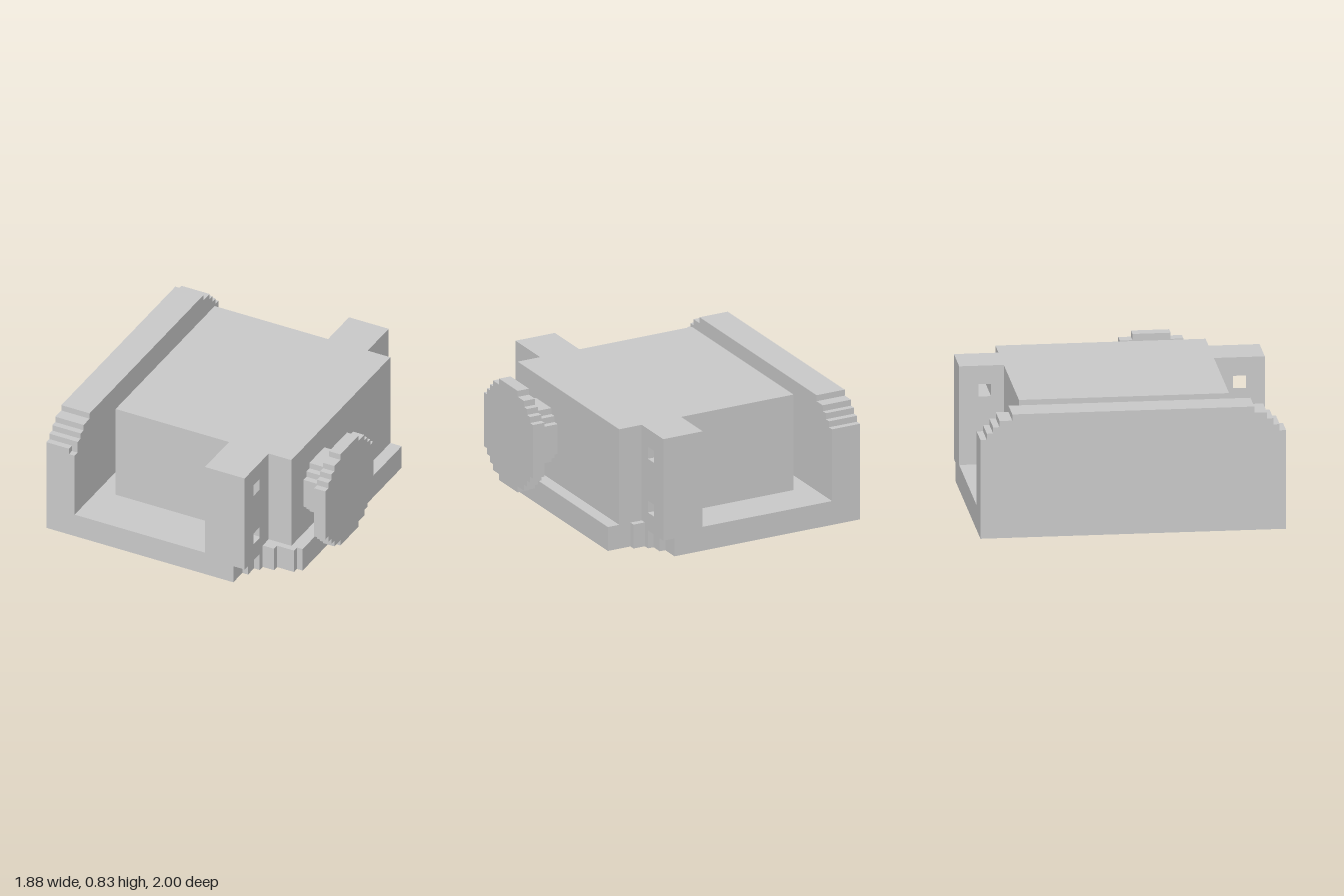
import * as THREE from 'three';

const U = 1 / 24; // one block unit; all sizes below are in these units

export function createModel() {
  const model = new THREE.Group();
  const material = new THREE.MeshStandardMaterial({ color: 0xcccccc, flatShading: true });

  const add = (name, geometry) => {
    geometry.scale(U, U, U);
    const mesh = new THREE.Mesh(geometry, material);
    mesh.name = name;
    model.add(mesh);
  };
  const path = (points, Type = THREE.Shape) => new Type(points.map(([a, b]) => new THREE.Vector2(-a, b)));
  const rect = (a0, b0, a1, b1) => [[a0, b0], [a1, b0], [a1, b1], [a0, b1]];

  // Extrude a (z, y) outline from x0 to x1, with optional holes
  const alongX = (name, points, x0, x1, holes = []) => {
    const shape = path(points);
    shape.holes = holes.map((h) => path(h, THREE.Path));
    const g = new THREE.ExtrudeGeometry(shape, { depth: x1 - x0, bevelEnabled: false });
    add(name, g.rotateY(Math.PI / 2).translate(x0, 0, 0));
  };
  // Extrude an (x, z) outline from y0 to y1
  const alongY = (name, points, y0, y1) => {
    const shape = new THREE.Shape(points.map(([x, z]) => new THREE.Vector2(x, -z)));
    const g = new THREE.ExtrudeGeometry(shape, { depth: y1 - y0, bevelEnabled: false });
    add(name, g.rotateX(-Math.PI / 2).translate(0, y0, 0));
  };
  // Stepped round outline: one quadrant of corner offsets mirrored about (cz, cy)
  const steppedRound = (quadrant, cz, cy) => {
    const back = [...quadrant].reverse();
    return [
      ...quadrant.map(([z, y]) => [cz + z, cy + y]),
      ...back.map(([z, y]) => [cz - z, cy + y]),
      ...quadrant.map(([z, y]) => [cz - z, cy - y]),
      ...back.map(([z, y]) => [cz + z, cy - y]),
    ];
  };

  // Base plate: stepped lower corners, then a full top layer
  const bulge = [[12.5, -18], [14.5, -18], [14.5, -17], [18.5, -17], [18.5, 16],
    [17.5, 16], [17.5, 17], [14.5, 17], [14.5, 18], [12.5, 18]];
  const cornerBack = [[10.5, -24], [10.5, -21], [11.5, -21], [11.5, -19], [12.5, -19]];
  const cornerFront = cornerBack.map(([x, z]) => [x, -z]).reverse();
  alongY('baseLower', [[-22.5, -24], ...cornerBack, ...bulge, ...cornerFront, [-22.5, 24]], 0, 3);
  alongY('baseUpper', [[-22.5, -24], [12.5, -24], ...bulge, [12.5, 24], [-22.5, 24]], 3, 4);

  // Main block
  alongX('mainBlock', rect(-17, 4, 16, 20), -14.5, 16.5);

  // Corner pillars with two square holes each
  for (const [name, side, inner] of [['frontPillar', 1, 16], ['backPillar', -1, 17]]) {
    const holes = [6, 15].map((y) => rect(side * 19, y, side * 21, y + 2));
    alongX(name, rect(side * inner, 4, side * 24, 20), 5.5, 12.5, holes);
  }

  // Side wall with stepped shoulders and a slot; its inner layer is notched at the front
  const shoulder = [[24, 16], [23, 16], [23, 17], [22, 17], [22, 18], [21, 18], [21, 19], [19, 19], [19, 20]];
  const shoulderBack = shoulder.map(([z, y]) => [-z, y]).reverse();
  const wall = (front) => [[-24, 4], [24, 4], ...front, ...shoulderBack];
  const slot = [rect(7, 9, 9, 12)];
  alongX('sideWall', wall(shoulder), -22.5, -18.5, slot);
  alongX('sideWallInner', wall([[24, 15], [23, 15], ...shoulder.slice(2)]), -18.5, -17.5, slot);

  // Round knob on its hub
  alongX('knobHub', steppedRound([[4.5, 2.5], [3.5, 2.5], [3.5, 3.5], [2.5, 3.5], [2.5, 4.5]], 7.5, 11.5), 16.5, 20.5);
  alongX('knobDisc', steppedRound([[8, 4.5], [7, 4.5], [7, 5.5], [6, 5.5], [6, 6.5],
    [5, 6.5], [5, 7.5], [3, 7.5], [3, 8.5]], 8, 11.5), 20.5, 22.5);

  return model;
}
